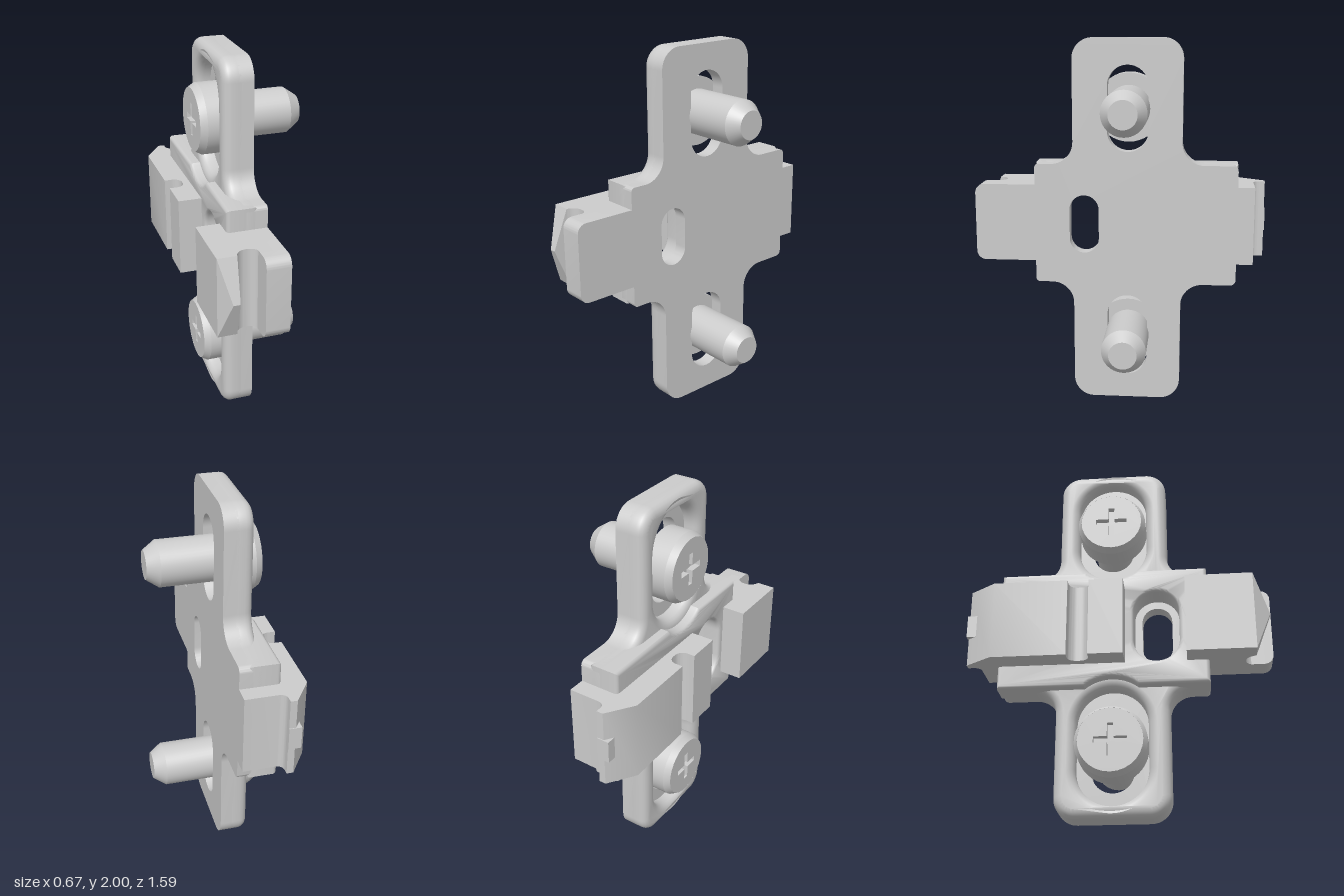
import * as THREE from 'three';
import { toCreasedNormals } from 'three/addons/utils/BufferGeometryUtils.js';
import { ConvexGeometry } from 'three/addons/geometries/ConvexGeometry.js';

const RAIL_LOW = 0.79, RAIL_HIGH = 1.215;      // height range of the central rail
const SCREW_Z = -0.047, SCREW_Y = [0.37, 1.63];

// Closed shape from [u, v, cornerRadius] points
function roundedShape(points) {
  const shape = new THREE.Shape();
  const n = points.length;
  points.forEach(([u, v, r = 0], i) => {
    const p = new THREE.Vector2(u, v);
    const a = new THREE.Vector2(...points[(i + n - 1) % n].slice(0, 2)).sub(p).normalize();
    const b = new THREE.Vector2(...points[(i + 1) % n].slice(0, 2)).sub(p).normalize();
    const at = (d, s) => p.clone().addScaledVector(d, s);
    const start = at(a, r), end = at(b, r);
    if (i === 0) shape.moveTo(start.x, start.y); else shape.lineTo(start.x, start.y);
    if (r > 0) {
      const c1 = at(a, r * 0.45), c2 = at(b, r * 0.45);
      shape.bezierCurveTo(c1.x, c1.y, c2.x, c2.y, end.x, end.y);
    }
  });
  shape.closePath();
  return shape;
}

// Upright slot hole with round ends
function slot(z, y, r, half) {
  const p = new THREE.Path();
  p.absarc(z, y + half, r, 0, Math.PI, false);
  p.absarc(z, y - half, r, Math.PI, Math.PI * 2, false);
  p.closePath();
  return p;
}

// Upper half of an outline plus its mirror image about y = 1
const mirrored = (half) => [...half, ...half.slice().reverse().map(([z, y, r]) => [z, 2 - y, r])];

// Sheet drawn in (z, y), filling x from -from to -to, with optional rounded rims
function sheet(shape, from, to, bevel = 0) {
  const g = new THREE.ExtrudeGeometry(shape, {
    depth: to - from - 2 * bevel, curveSegments: 14, bevelEnabled: bevel > 0,
    bevelThickness: bevel, bevelSize: bevel, bevelOffset: -bevel, bevelSegments: 4,
  });
  g.translate(0, 0, from + bevel);
  g.rotateY(-Math.PI / 2);
  return toCreasedNormals(g, 0.6);
}

// Rail piece drawn as [x, z, radius], extruded over the rail height
function railPiece(points) {
  const g = new THREE.ExtrudeGeometry(roundedShape(points.map(([x, z, r]) => [x, -z, r])), {
    depth: RAIL_HIGH - RAIL_LOW, curveSegments: 10, bevelEnabled: false,
  });
  g.rotateX(-Math.PI / 2);
  g.translate(0, RAIL_LOW, 0);
  return toCreasedNormals(g, 0.6);
}

export function createModel() {
  const model = new THREE.Group();
  const material = new THREE.MeshStandardMaterial({ color: 0xcccccc });
  const add = (name, geometry, parent = model) => {
    const mesh = new THREE.Mesh(geometry, material);
    mesh.name = name;
    parent.add(mesh);
    return mesh;
  };

  // Cross-shaped plate: thin back with narrow slots, front with wide recesses
  const outline = mirrored([
    [0.46, 1.33, 0.02], [0.25, 1.33, 0.12], [0.25, 2, 0.11],
    [-0.34, 2, 0.11], [-0.34, 1.33, 0.12], [-0.64, 1.33, 0.03],
  ]);
  const back = roundedShape(outline);
  const front = roundedShape(outline);
  for (const y of SCREW_Y) {
    back.holes.push(slot(SCREW_Z, y, 0.11, 0.12));
    front.holes.push(slot(SCREW_Z, y, 0.185, 0.12));
  }
  back.holes.push(slot(0.19, 1, 0.08, 0.08));
  front.holes.push(slot(0.19, 1, 0.12, 0.08));
  add('plateBack', sheet(back, 0, 0.075));
  add('plateFront', sheet(front, 0.02, 0.155, 0.045));

  // Raised middle block, scalloped where the screw recesses reach it
  const block = new THREE.Shape();
  const scallopR = 0.22, scallopY = 1.5;
  const a = Math.acos((scallopY - 1.33) / scallopR);
  block.moveTo(0.46, 0.67);
  block.lineTo(0.46, 1.33);
  block.absarc(SCREW_Z, scallopY, scallopR, -Math.PI / 2 + a, -Math.PI / 2 - a, true);
  block.lineTo(-0.64, 1.33);
  block.lineTo(-0.64, 0.67);
  block.absarc(SCREW_Z, 2 - scallopY, scallopR, Math.PI / 2 + a, Math.PI / 2 - a, true);
  block.closePath();
  block.holes.push(slot(0.19, 1, 0.12, 0.08));
  add('middleBlock', sheet(block, 0.05, 0.21, 0.02));

  // Front arm with rounded end corners
  add('frontArm', sheet(roundedShape([
    [0.46, RAIL_LOW], [0.79, RAIL_LOW, 0.05], [0.79, RAIL_HIGH, 0.05], [0.46, RAIL_HIGH],
  ]), 0, 0.125));

  // Front rail with round undercut and pointed nose
  add('frontRail', railPiece([
    [-0.06, 0.345], [-0.335, 0.345], [-0.335, 0.695], [-0.235, 0.695],
    [-0.225, 0.645, 0.045], [-0.12, 0.645, 0.05], [-0.12, 0.7], [-0.06, 0.7],
  ]));
  const nose = [new THREE.Vector3(-0.28, 1, 0.775), new THREE.Vector3(-0.245, 1, 0.775)];
  for (const y of [RAIL_LOW, RAIL_HIGH])
    for (const x of [-0.335, -0.235]) nose.push(new THREE.Vector3(x, y, 0.695));
  add('railNose', new ConvexGeometry(nose));

  // Rear rail with cross groove, sloped end and hooked lip
  add('rearRail', railPiece([
    [0, -0.73], [0, -0.64], [-0.06, -0.64], [-0.06, 0.025], [-0.335, 0.025],
    [-0.335, -0.155], [-0.25, -0.155, 0.045], [-0.25, -0.265, 0.045], [-0.335, -0.265],
    [-0.335, -0.655], [-0.24, -0.795], [-0.205, -0.795], [-0.205, -0.73, 0.035],
  ]));
  const tab = new THREE.BoxGeometry(0.065, 0.12, 0.06);
  tab.translate(-0.2375, 1, -0.77);
  add('rearTab', tab);

  // Screws: turned body plus a face disc with a cross recess
  const profile = [
    [0, -0.2], [0.16, -0.2], [0.165, -0.235], [0.185, -0.2], [0.185, -0.08],
    [0.12, -0.08], [0.12, 0.265], [0.075, 0.33], [0, 0.33],
  ].map(([r, h]) => new THREE.Vector2(r, h));
  const body = new THREE.LatheGeometry(profile, 40);
  body.rotateZ(-Math.PI / 2);
  const bodyGeometry = toCreasedNormals(body, 0.5);

  const face = new THREE.Shape();
  face.absarc(0, 0, 0.165, 0, Math.PI * 2, false);
  const w = 0.016, l = 0.085;
  face.holes.push(new THREE.Path([
    [w, w], [w, l], [-w, l], [-w, w], [-l, w], [-l, -w],
    [-w, -w], [-w, -l], [w, -l], [w, -w], [l, -w], [l, w],
  ].map(([u, v]) => new THREE.Vector2(u, v))));
  const faceGeometry = sheet(face, 0.195, 0.235);

  SCREW_Y.forEach((y, i) => {
    const screw = new THREE.Group();
    screw.name = i ? 'upperScrew' : 'lowerScrew';
    screw.position.set(0, y, SCREW_Z);
    add('screwBody', bodyGeometry, screw);
    add('screwFace', faceGeometry, screw);
    model.add(screw);
  });

  return model;
}
